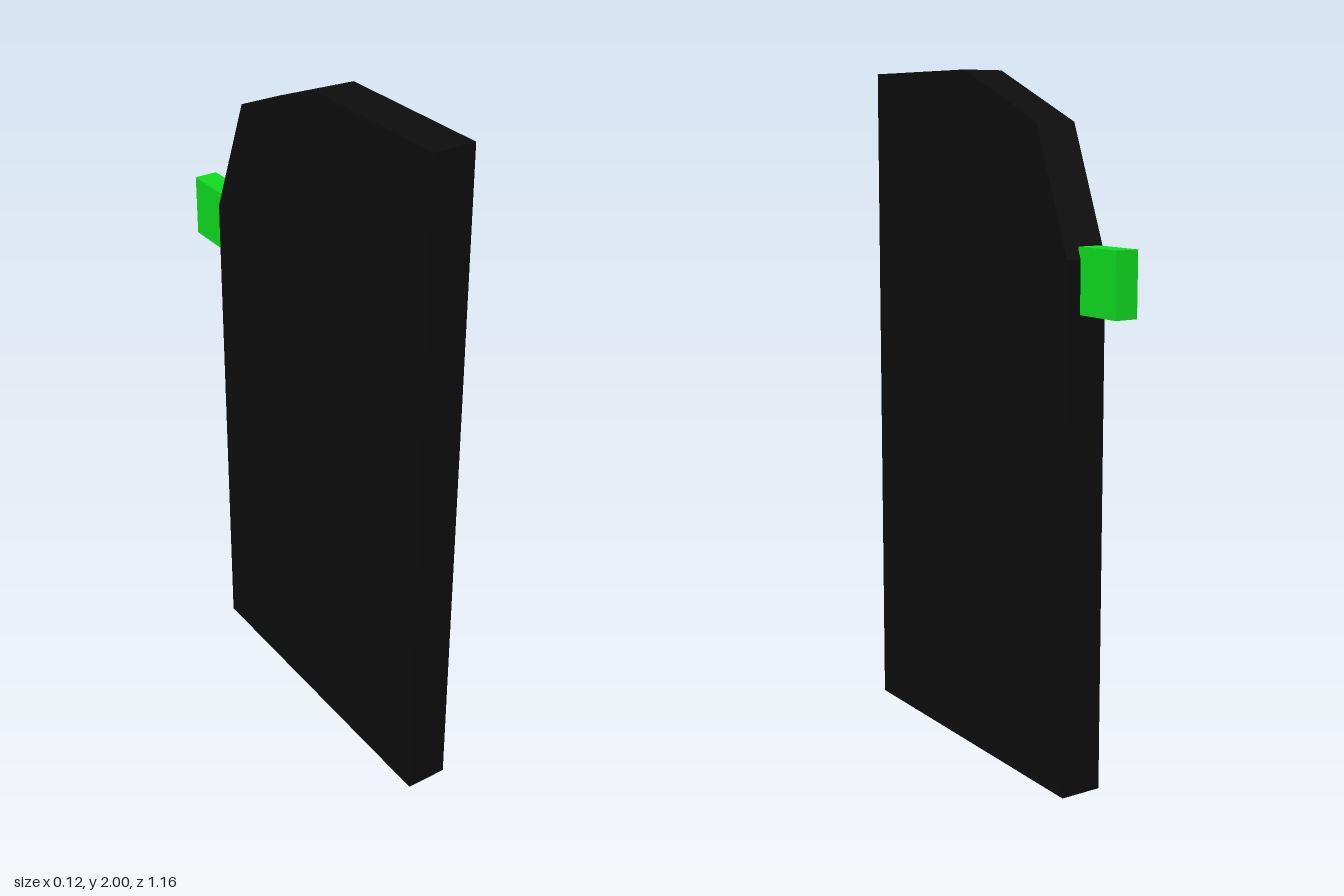
import * as THREE from 'three';

export function createModel() {
  const group = new THREE.Group();
  const black = new THREE.MeshStandardMaterial({ color: 0x0d0d0d, flatShading: true });
  const green = new THREE.MeshStandardMaterial({ color: 0x0fdf1f, flatShading: true });

  // Slab: side profile as (-z, y), with a faceted upper back corner
  const thickness = 0.125;
  const profile = [
    [-0.58, 0], [0.43, 0], [0.43, 1.5], [0.285, 1.855], [-0.07, 2], [-0.57, 2],
  ].map(([u, y]) => new THREE.Vector2(u, y));
  const slabGeometry = new THREE.ExtrudeGeometry(new THREE.Shape(profile), {
    depth: thickness,
    bevelEnabled: false,
  });
  slabGeometry.translate(0, 0, -thickness / 2).rotateY(Math.PI / 2);
  const slab = new THREE.Mesh(slabGeometry, black);
  slab.name = 'slab';
  group.add(slab);

  // Small block on the back edge
  const block = new THREE.Mesh(new THREE.BoxGeometry(0.07, 0.18, 0.163), green);
  block.name = 'backBlock';
  block.position.set(-0.016, 1.443, -0.5015);
  group.add(block);

  return group;
}
